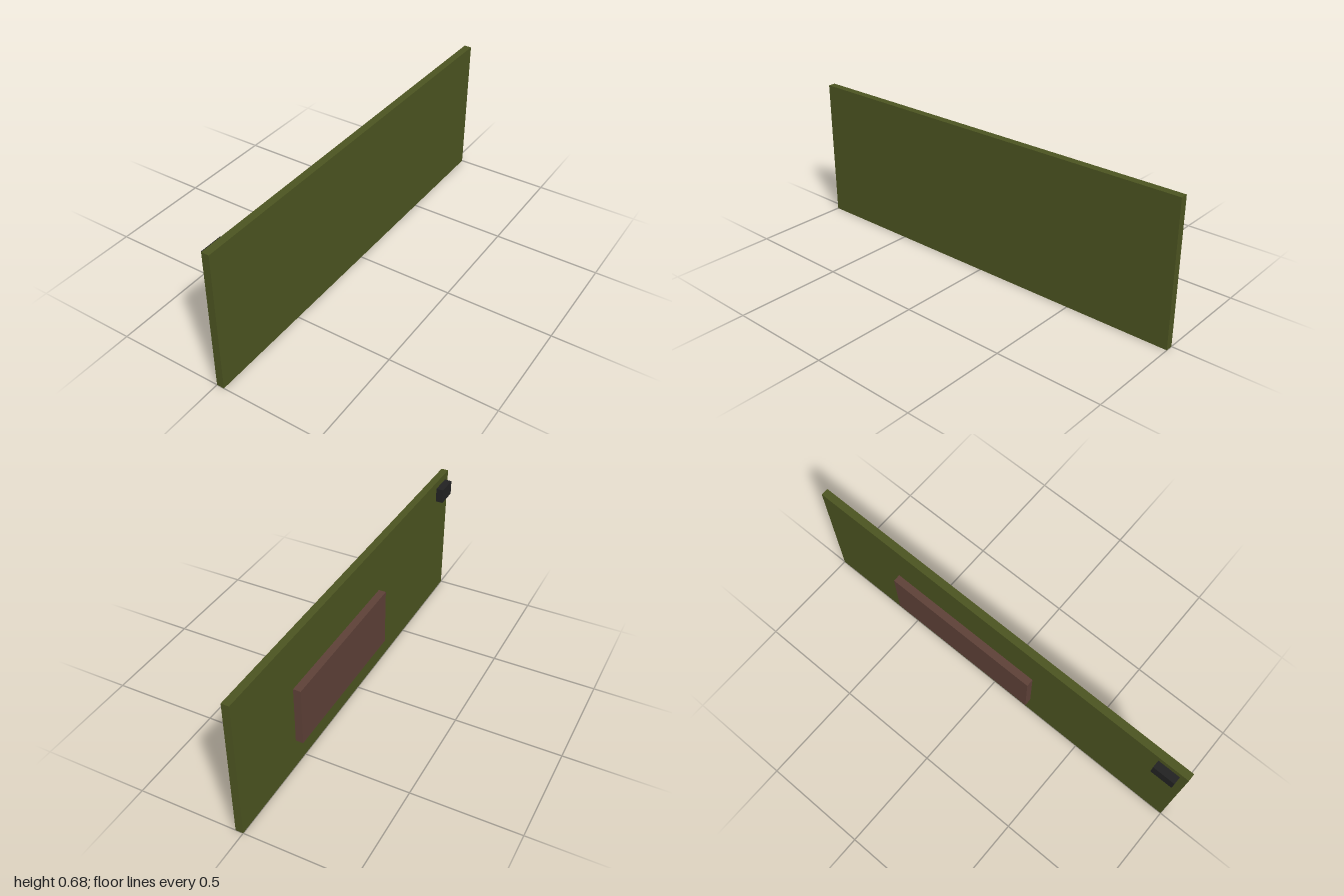
import * as THREE from 'three';

const U = 1 / 28; // grid unit: the panel is 56 units long

const material = (name, color) => {
  const m = new THREE.MeshStandardMaterial({ color });
  m.name = name;
  return m;
};

// Box spanning two opposite corners, given in grid units
function slab(name, mat, min, max) {
  const size = max.map((v, i) => (v - min[i]) * U);
  const mesh = new THREE.Mesh(new THREE.BoxGeometry(...size), mat);
  mesh.position.set(...max.map((v, i) => ((v + min[i]) / 2) * U));
  mesh.name = name;
  return mesh;
}

export function createModel() {
  const group = new THREE.Group();
  group.name = 'sidePanel';

  const green = material('olive green', 0x4b5320);
  const brown = material('dark brown', 0x5d4037);
  const black = material('near black', 0x222222);

  group.add(
    // Main upright panel
    slab('panel', green, [0, 0, -28], [1, 19, 28]),
    // Raised plate on the right face
    slab('raisedPlate', brown, [-1, 4, -16], [0, 12, 6]),
    // Small block near the upper front corner
    slab('cornerBlock', black, [-1, 16, 24], [0, 18, 27])
  );
  return group;
}
